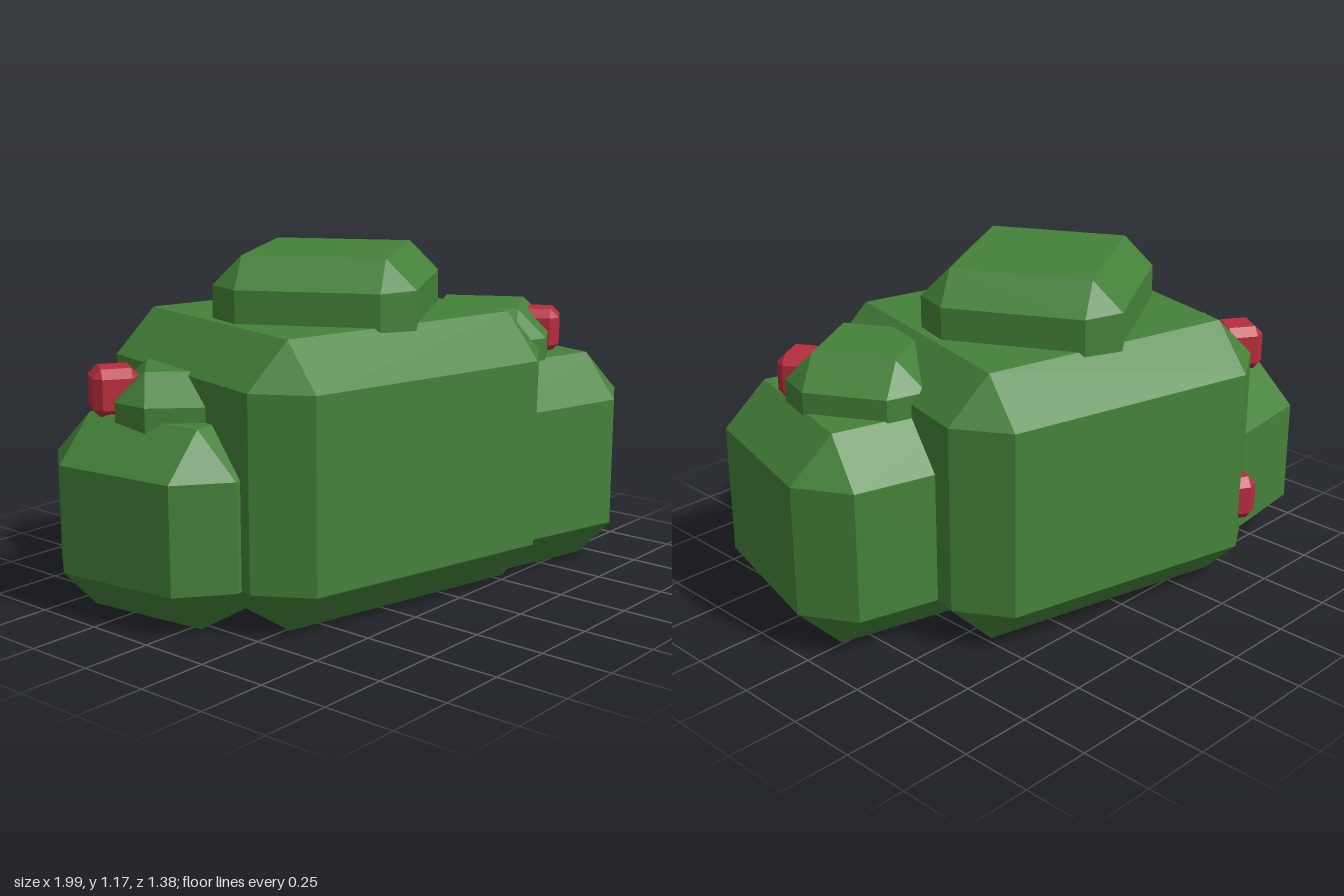
import * as THREE from 'three';
import { ConvexGeometry } from 'three/addons/geometries/ConvexGeometry.js';

const leaf = new THREE.MeshStandardMaterial({ color: 0x45823a, flatShading: true });
const berry = new THREE.MeshStandardMaterial({ color: 0xb82c3c, flatShading: true });

// Box with every edge and corner cut off by one flat bevel
function bevelledBox(hx, hy, hz, b) {
  const points = [];
  for (const x of [-1, 1]) for (const y of [-1, 1]) for (const z of [-1, 1]) {
    points.push(
      new THREE.Vector3(x * hx, y * (hy - b), z * (hz - b)),
      new THREE.Vector3(x * (hx - b), y * hy, z * (hz - b)),
      new THREE.Vector3(x * (hx - b), y * (hy - b), z * hz)
    );
  }
  return new ConvexGeometry(points);
}

export function createModel() {
  const group = new THREE.Group();

  function addBlock(name, material, [x, z], bottom, top, hx, hz, bevel, degrees) {
    const mesh = new THREE.Mesh(bevelledBox(hx, (top - bottom) / 2, hz, bevel), material);
    mesh.name = name;
    mesh.position.set(x, (top + bottom) / 2, z);
    mesh.rotation.y = THREE.MathUtils.degToRad(degrees);
    group.add(mesh);
  }

  const middle = [-0.066, -0.035], left = [0.515, 0.203], right = [-0.59, -0.218];

  // Three large clumps of foliage standing on the ground
  addBlock('middleFoliage', leaf, middle, 0, 0.96, 0.618, 0.567, 0.153, -13);
  addBlock('leftFoliage', leaf, left, 0, 0.765, 0.425, 0.427, 0.152, -14.7);
  addBlock('rightFoliage', leaf, right, 0, 0.67, 0.379, 0.379, 0.151, 6.9);

  // A smaller clump sunk into the top of each
  addBlock('middleCrown', leaf, middle, 0.6, 1.175, 0.369, 0.347, 0.103, 29.3);
  addBlock('leftCrown', leaf, left, 0.5, 0.94, 0.253, 0.247, 0.102, 30);
  addBlock('rightCrown', leaf, right, 0.42, 0.82, 0.23, 0.23, 0.1, 45);

  // Berries
  addBlock('leftBerry', berry, [0.68, 0.342], 0.755, 0.915, 0.08, 0.08, 0.03, 30);
  addBlock('rightBerry', berry, [-0.77, -0.373], 0.655, 0.82, 0.08, 0.08, 0.03, -33);
  addBlock('backBerry', berry, [-0.458, -0.6], 0.23, 0.39, 0.08, 0.08, 0.03, -30);

  return group;
}
